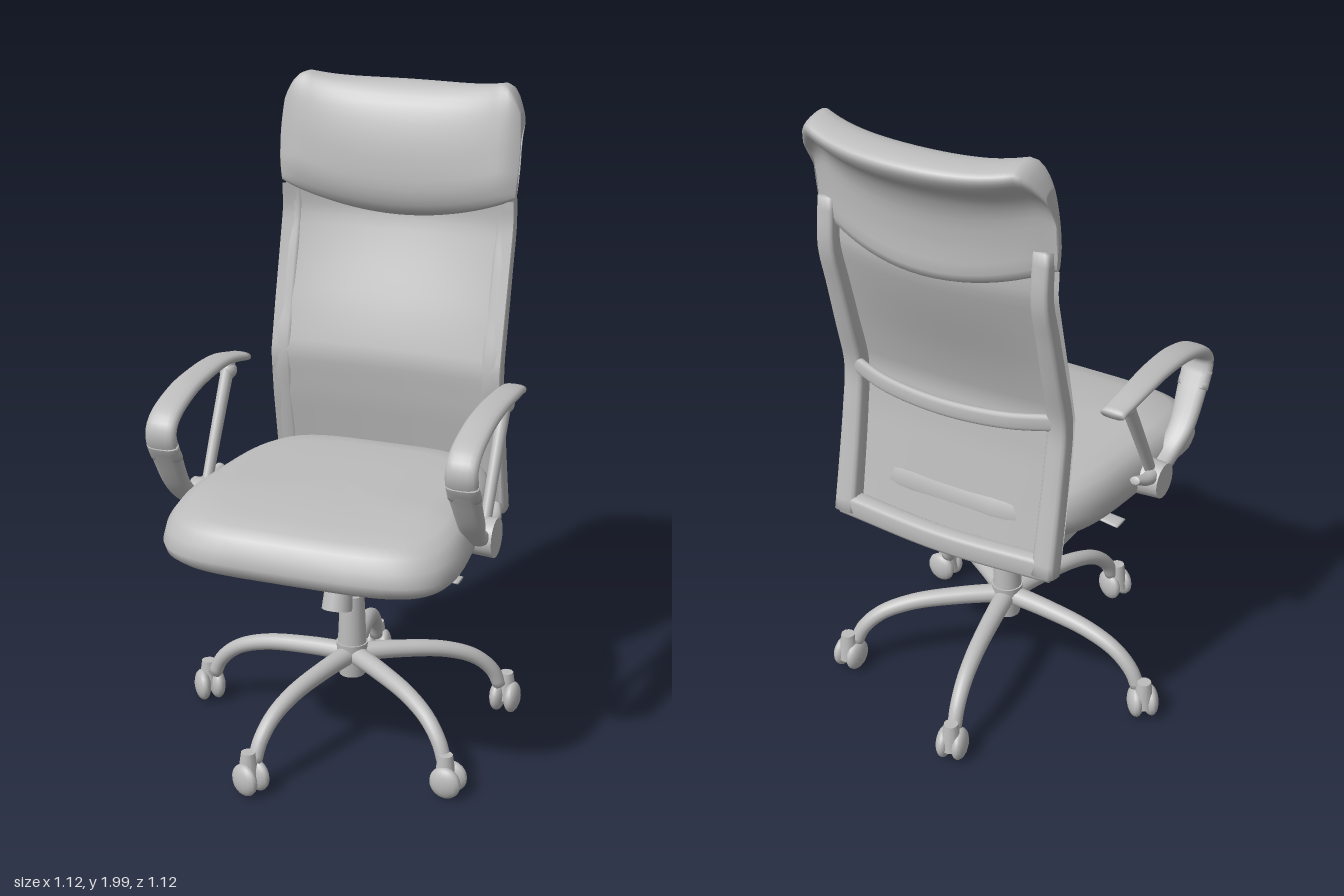
import * as THREE from 'three';

const V = (x, y, z) => new THREE.Vector3(x, y, z);
const X = V(1, 0, 0), Y = V(0, 1, 0), Z = V(0, 0, 1);
const grey = new THREE.MeshStandardMaterial({ color: 0xbcbcbc, side: THREE.DoubleSide });
grey.name = 'grey';

function add(parent, name, geometry, x = 0, y = 0, z = 0) {
  const mesh = new THREE.Mesh(geometry, grey);
  mesh.name = name;
  mesh.position.set(x, y, z);
  parent.add(mesh);
  return mesh;
}

// Skin over a row of closed rings, capped at both ends and wound outwards
function loft(rings) {
  const n = rings[0].length, last = rings.length - 1;
  const pts = rings.flat(), idx = [];
  for (let i = 0; i < last; i++) for (let j = 0; j < n; j++) {
    const a = i * n + j, b = i * n + (j + 1) % n;
    idx.push(a, b, a + n, b, b + n, a + n);
  }
  for (const r of [0, last]) {
    const mid = V(0, 0, 0);
    rings[r].forEach(p => mid.addScaledVector(p, 1 / n));
    const c = pts.push(mid) - 1;
    for (let j = 0; j < n; j++) {
      const a = r * n + j, b = r * n + (j + 1) % n;
      idx.push(...(r ? [a, b, c] : [b, a, c]));
    }
  }
  let volume = 0;
  for (let i = 0; i < idx.length; i += 3)
    volume += pts[idx[i]].dot(V(0, 0, 0).crossVectors(pts[idx[i + 1]], pts[idx[i + 2]]));
  if (volume < 0) idx.reverse();
  const g = new THREE.BufferGeometry().setFromPoints(pts);
  g.setIndex(idx);
  g.computeVertexNormals();
  return g;
}

// Signed power, for superellipse outlines
const spow = (v, e) => Math.sign(v) * Math.abs(v) ** e;

// Rounded bar along a planar path; half sizes across (w) and through (t) run from first to second value
function sweep(points, side, [w0, w1], [t0, t1], power = 2, steps = 28) {
  const curve = new THREE.CatmullRomCurve3(points.map(p => V(...p)), false, 'centripetal');
  const rings = [];
  for (let i = 0; i <= steps; i++) {
    const u = i / steps, p = curve.getPointAt(u);
    const normal = curve.getTangentAt(u).cross(side).normalize();
    const w = THREE.MathUtils.lerp(w0, w1, u), t = THREE.MathUtils.lerp(t0, t1, u);
    const ring = [];
    for (let j = 0; j < 16; j++) {
      const a = j / 16 * Math.PI * 2;
      ring.push(p.clone()
        .addScaledVector(side, w * spow(Math.cos(a), 2 / power))
        .addScaledVector(normal, t * spow(Math.sin(a), 2 / power)));
    }
    rings.push(ring);
  }
  return loft(rings);
}

// Cushion from stacked, rounded outlines [scale, height, drop at the front edge]
function seatGeometry() {
  const layers = [[0.03, 0.888, 0.03], [0.4, 0.888, 0.03], [0.7, 0.888, 0.03], [0.85, 0.88, 0.03], [0.93, 0.863, 0.035],
    [0.98, 0.833, 0.04], [1, 0.79, 0.035], [0.985, 0.755, 0.025], [0.94, 0.722, 0.01], [0.8, 0.69, -0.02],
    [0.5, 0.667, 0], [0.03, 0.66, 0]];
  const rings = layers.map(([s, y, drop]) => Array.from({ length: 64 }, (_, j) => {
    const a = j / 64 * Math.PI * 2;
    const z = 0.115 + 0.43 * s * spow(Math.sin(a), 0.5);
    const x = (0.422 + 0.115 * z) * s * spow(Math.cos(a), 0.45);
    return V(x, y - drop * THREE.MathUtils.smoothstep(z, 0.2, 0.54), z);
  }));
  return loft(rings);
}

// Curled head cushion: one side profile, bent and rounded towards the ends
function headrestGeometry() {
  const profile = new THREE.CatmullRomCurve3([
    [-0.375, 1.58], [-0.34, 1.64], [-0.34, 1.73], [-0.36, 1.84], [-0.395, 1.925], [-0.45, 1.972], [-0.515, 1.972],
    [-0.557, 1.95], [-0.54, 1.91], [-0.49, 1.865], [-0.455, 1.79], [-0.445, 1.69], [-0.44, 1.59],
  ].map(([z, y]) => V(0, y, z)), true, 'centripetal').getPoints(40).slice(0, 40);
  const rings = [];
  for (let i = 0; i <= 32; i++) {
    const u = Math.sin((i / 32 - 0.5) * Math.PI), e = u * u;
    const round = Math.max(0, (Math.abs(u) - 0.82) / 0.18) ** 2;
    rings.push(profile.map(p => {
      const h = (p.y - 1.58) / 0.39;
      const back = THREE.MathUtils.clamp((-p.z - 0.34) / 0.12, 0, 1);
      const y = p.y + (1 - h) * 0.085 * e + h * (0.04 * e * e - 0.1 * round);
      const z = p.z + e * (0.015 + 0.07 * back) - e * h * 0.03 * (1 - back);
      const flat = -0.365 - 0.03 * h;
      return V(u * (0.376 + 0.008 * Math.sin(h * 3)), y, THREE.MathUtils.lerp(z, flat, 0.55 * round));
    }));
  }
  return loft(rings);
}

// Side line of the backrest frame, given as [y, z]
const SPINE = [[0.67, -0.35], [0.8, -0.325], [1, -0.29], [1.14, -0.275], [1.3, -0.313], [1.45, -0.352],
  [1.58, -0.385], [1.72, -0.375]];
function spineZ(y) {
  const i = Math.max(1, SPINE.findIndex(([h]) => y <= h));
  const [y0, z0] = SPINE[i - 1], [y1, z1] = SPINE[i];
  return THREE.MathUtils.mapLinear(y, y0, y1, z0, z1);
}

// Thin fabric sheet, slightly bowed backwards
function panelGeometry() {
  const g = new THREE.PlaneGeometry(0.745, 0.95, 20, 30), p = g.attributes.position;
  for (let i = 0; i < p.count; i++) {
    const u = p.getX(i) / 0.3725, y = p.getY(i) + 1.18;
    const bow = 0.02 + 0.04 * THREE.MathUtils.smoothstep(y, 1.15, 1.6);
    p.setXYZ(i, p.getX(i), y, spineZ(y) + 0.034 - bow * (1 - u * u));
  }
  g.computeVertexNormals();
  return g;
}

function createBackrest() {
  const back = new THREE.Group();
  back.name = 'backrest';
  add(back, 'backPanel', panelGeometry());
  add(back, 'headrest', headrestGeometry());
  for (const s of [-1, 1])
    add(back, 'backRail', sweep(SPINE.map(([y, z]) => [s * 0.342, y, z]), X, [0.038, 0.028], [0.034, 0.024], 3.5));
  add(back, 'lowerBackBar', sweep([[-0.36, 0.69, -0.345], [0, 0.685, -0.365], [0.36, 0.69, -0.345]],
    Y, [0.038, 0.038], [0.028, 0.028], 3.5));
  add(back, 'lumbarBar', sweep([[-0.35, 1.15, -0.285], [-0.2, 1.14, -0.335], [0, 1.135, -0.355], [0.2, 1.14, -0.335],
    [0.35, 1.15, -0.285]], Y, [0.026, 0.026], [0.012, 0.012], 3));
  return back;
}

function createArm(s) {
  const arm = new THREE.Group();
  arm.name = s > 0 ? 'leftArmrest' : 'rightArmrest';
  const x = s * 0.457, inner = s * 0.445;
  // Flat pad that turns down at the front into the forward support
  add(arm, 'armPad', sweep([[inner, 1.14, -0.16], [x, 1.16, -0.05], [x, 1.163, 0.1], [x, 1.147, 0.24],
    [x, 1.105, 0.355], [x, 1.07, 0.382], [x, 1.03, 0.376], [x, 0.98, 0.347]], X, [0.038, 0.05], [0.014, 0.022], 2.6, 40));
  add(arm, 'frontArmSupport', sweep([[x, 1.03, 0.376], [x, 0.98, 0.347], [x, 0.87, 0.278], [inner, 0.81, 0.215],
    [inner, 0.775, 0.12]], X, [0.05, 0.03], [0.022, 0.026], 2.6));
  add(arm, 'rearArmSupport', sweep([[inner, 0.78, 0.12], [inner, 0.95, 0.03], [inner, 1.15, -0.08]],
    X, [0.016, 0.02], [0.018, 0.022]));
  add(arm, 'armHinge', new THREE.SphereGeometry(0.028, 14, 10), inner, 1.12, -0.07);
  add(arm, 'armHub', new THREE.CylinderGeometry(0.055, 0.06, 0.08, 18), inner, 0.775, 0.12).rotation.z = Math.PI / 2;
  add(arm, 'armFoot', sweep([[x, 0.8, 0.1], [x, 0.81, 0.05], [inner, 0.83, 0]], X, [0.025, 0.015], [0.025, 0.012]));
  return arm;
}

// Tilt housing, tension knob and the two paddle levers below the seat
function createMechanism() {
  const m = new THREE.Group();
  m.name = 'tiltMechanism';
  const levels = [[0.685, -0.2, 0.32, 0.14], [0.655, -0.19, 0.3, 0.13], [0.615, -0.12, 0.24, 0.115],
    [0.575, -0.08, 0.12, 0.09], [0.55, -0.05, 0.06, 0.06]];
  const rings = levels.map(([y, z0, z1, w]) => Array.from({ length: 24 }, (_, j) => {
    const a = j / 24 * Math.PI * 2;
    return V(w * spow(Math.cos(a), 0.5), y, (z0 + z1) / 2 + (z1 - z0) / 2 * spow(Math.sin(a), 0.5));
  }));
  add(m, 'tiltHousing', loft(rings));
  add(m, 'seatPan', new THREE.BoxGeometry(0.62, 0.04, 0.5), 0, 0.682, -0.09);
  add(m, 'tensionKnob', new THREE.CylinderGeometry(0.04, 0.047, 0.12, 18), 0, 0.54, 0.14).rotation.x = -0.25;
  for (const s of [-1, 1])
    add(m, 'lever', sweep([[s * 0.08, 0.625, 0.08], [s * 0.22, 0.618, 0.08], [s * 0.365, 0.603, 0.08]],
      Z, [0.014, 0.028], [0.012, 0.006]));
  return m;
}

// One base leg along +x with a twin-wheel caster at its end
function createLeg(casterTurn) {
  const leg = new THREE.Group();
  leg.name = 'baseLeg';
  add(leg, 'legBar', sweep([[0.01, 0.265, 0], [0.15, 0.26, 0], [0.3, 0.242, 0], [0.4, 0.205, 0], [0.46, 0.15, 0],
    [0.485, 0.095, 0]], Z, [0.032, 0.022], [0.03, 0.022]));
  const caster = new THREE.Group();
  caster.name = 'caster';
  caster.position.set(0.505, 0.052, 0);
  caster.rotation.y = casterTurn;
  for (const s of [-1, 1])
    add(caster, 'wheel', new THREE.SphereGeometry(0.05, 16, 12), 0, 0, s * 0.024).scale.z = 0.5;
  add(caster, 'casterHood', new THREE.CylinderGeometry(0.022, 0.035, 0.09, 12), -0.01, 0.035, 0);
  leg.add(caster);
  return leg;
}

export function createModel() {
  const chair = new THREE.Group();
  chair.name = 'officeChair';

  // Everything above the column is swivelled a little
  const upper = new THREE.Group();
  upper.name = 'swivelPart';
  upper.rotation.y = 0.12;
  add(upper, 'seat', seatGeometry());
  upper.add(createBackrest(), createArm(1), createArm(-1), createMechanism());

  const base = new THREE.Group();
  base.name = 'starBase';
  base.position.x = -0.01;
  [28, 99, 176, 252, 319].forEach((degrees, k) => {
    const leg = createLeg(0.5 + k * 0.9);
    leg.rotation.y = -THREE.MathUtils.degToRad(degrees);
    base.add(leg);
  });
  add(base, 'hub', new THREE.CylinderGeometry(0.05, 0.04, 0.11, 20), 0, 0.25, 0);
  add(base, 'column', new THREE.CylinderGeometry(0.038, 0.046, 0.18, 20), 0, 0.375, 0);
  add(base, 'gasLift', new THREE.CylinderGeometry(0.026, 0.026, 0.14, 16), 0, 0.52, 0);

  chair.add(upper, base);
  return chair;
}
